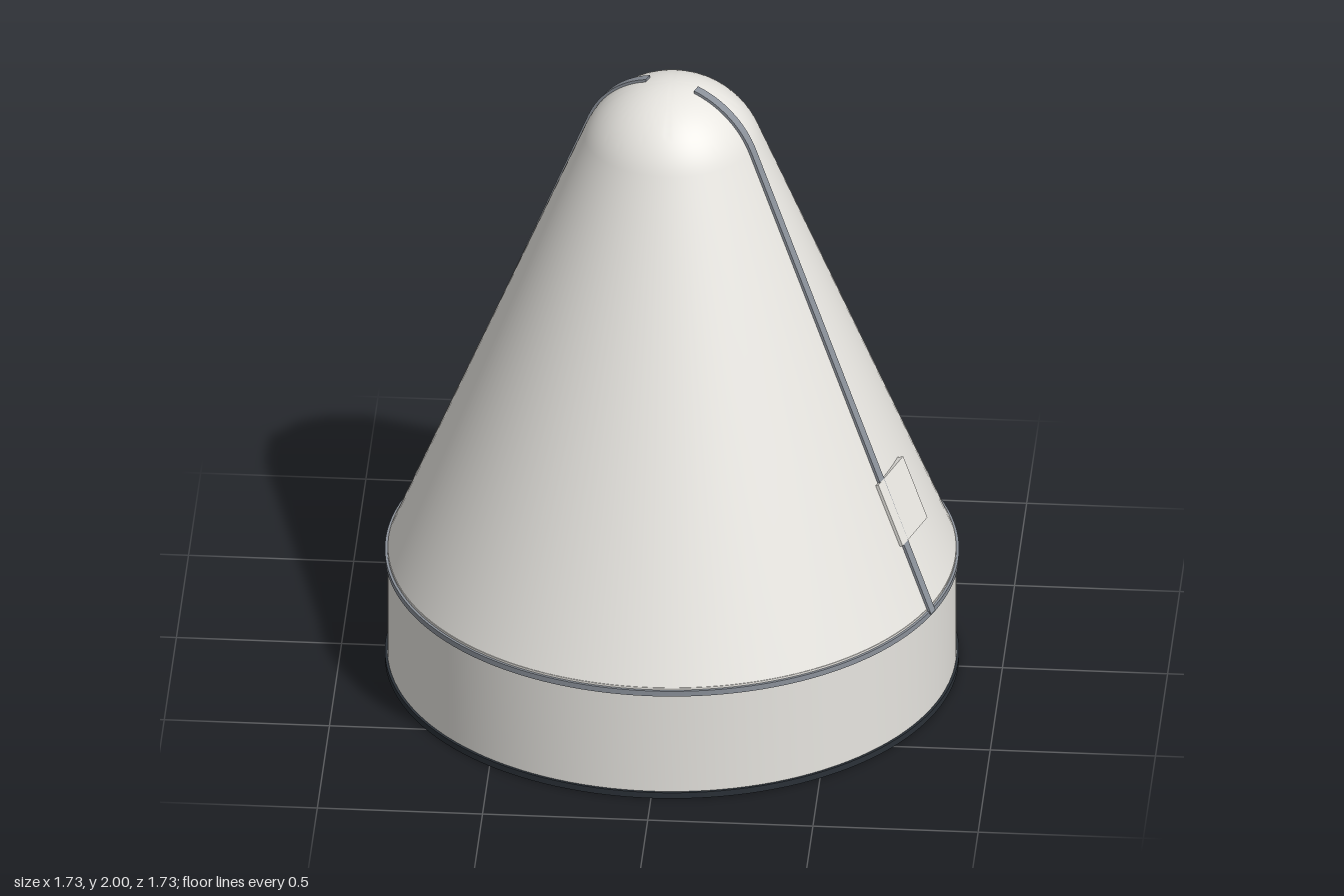
import * as THREE from 'three';
import { toCreasedNormals } from 'three/addons/utils/BufferGeometryUtils.js';

const mat = (name, color, side = THREE.FrontSide) => {
  const m = new THREE.MeshStandardMaterial({ color, side });
  m.name = name;
  return m;
};

export function createModel() {
  const model = new THREE.Group();
  model.name = 'noseFairing';
  const white = mat('shellWhite', 0xe8e6e1, THREE.DoubleSide);
  const steel = mat('seamSteel', 0x8b919a);
  const dark = mat('baseDark', 0x2a3037);
  const gold = mat('frameGold', 0xb98a2e);

  const add = (name, geo, material, parent = model) => {
    const mesh = new THREE.Mesh(geo, material);
    mesh.name = name;
    parent.add(mesh);
    return mesh;
  };
  const lathe = (name, pts, material) => add(name, toCreasedNormals(
    new THREE.LatheGeometry(pts.map(p => new THREE.Vector2(...p)), 128), 0.35), material);
  const ring = (name, rIn, rOut, y0, y1, material) =>
    lathe(name, [[rIn, y0], [rOut, y0], [rOut, y1], [rIn, y1], [rIn, y0]], material);

  // Ogive profile: straight cone blending into a spherical cap, moved inward by d
  const tilt = 0.39, capR = 0.288, capY = 1.708;
  const profile = (d, y0, rMin = 0) => {
    const R = capR - d;
    const tanR = R * Math.cos(tilt), tanY = capY + R * Math.sin(tilt);
    const pts = [[tanR + (tanY - y0) * Math.tan(tilt), y0]];
    const end = Math.acos(rMin / R);
    for (let i = 0; i <= 16; i++) {
      const a = tilt + (end - tilt) * i / 16;
      pts.push([Math.max(0, R * Math.cos(a)), capY + R * Math.sin(a)]);
    }
    return pts;
  };
  // Curved bar following the profile between two depths
  const bar = (name, dOut, dIn, y0, rMin, width, angle, material) => {
    const outline = [...profile(dOut, y0, rMin), ...profile(dIn, y0, rMin).reverse()];
    const geo = new THREE.ExtrudeGeometry(
      new THREE.Shape(outline.map(p => new THREE.Vector2(...p))),
      { depth: width, bevelEnabled: false });
    geo.translate(0, 0, -width / 2);
    add(name, geo, material).rotation.y = -angle;
  };

  // Hollow shell: skirt and nose
  ring('skirt', 0.846, 0.859, 0.006, 0.38, white);
  lathe('noseOuter', profile(0, 0.38), white);
  lathe('noseInner', profile(0.016, 0.38).reverse(), white);

  // Base and joint rings
  ring('baseRing', 0.852, 0.867, 0, 0.02, dark);
  ring('jointRing', 0.852, 0.867, 0.355, 0.373, steel);

  // Two split-line ribs
  const ribAngle = Math.atan2(0.31, 0.805);
  for (const side of [0, Math.PI])
    bar('splitRib', -0.008, 0.008, 0.365, 0.08, 0.03, ribAngle + side, steel);

  // Flat access hatch, nearly flush with the cone
  const hatchMount = new THREE.Group();
  hatchMount.name = 'hatch';
  hatchMount.position.set(0.705, 0.68, 0.2);
  hatchMount.rotation.y = -0.33;
  model.add(hatchMount);
  add('hatchPanel', new THREE.BoxGeometry(0.02, 0.21, 0.19), white, hatchMount).rotation.z = tilt;

  // Inner payload adapter: funnel with an open centre
  lathe('adapterCone', [[0.32, 0.008], [0.847, 0.365]], white);

  // Four dark clamps poking through the funnel
  for (let i = 0; i < 4; i++) {
    const a = i * Math.PI / 2;
    const clamp = add('clamp', new THREE.BoxGeometry(0.04, 0.05, 0.06), dark);
    clamp.position.set(0.8 * Math.cos(a), 0.33, 0.8 * Math.sin(a));
    clamp.rotation.y = -a;
  }

  // Internal frame: hoop and stringers along the inner wall
  ring('frameHoop', 0.825, 0.846, 0.37, 0.386, gold);
  for (let i = 0; i < 6; i++)
    bar('frameStringer', 0.018, 0.035, 0.383, 0.2, 0.05, ribAngle + i * Math.PI / 3, gold);
  return model;
}
